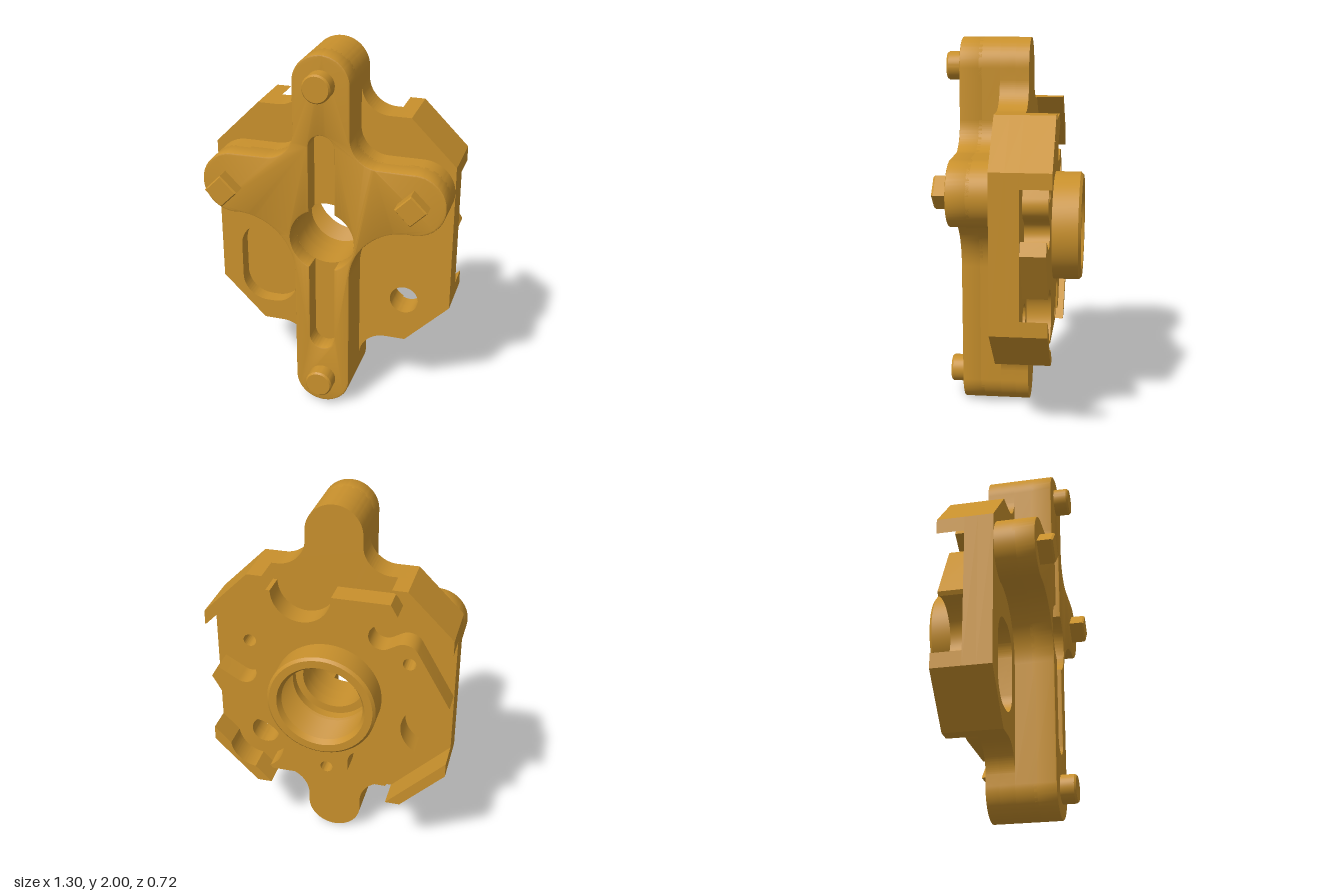
import * as THREE from 'three';
import { toCreasedNormals } from 'three/addons/utils/BufferGeometryUtils.js';

const PI = Math.PI;

export function createModel() {
  const model = new THREE.Group();
  model.name = 'bracketHousing';
  const brass = new THREE.MeshStandardMaterial({ color: 0xc8902c });
  brass.name = 'brass';

  function add(name, geometry) {
    const mesh = new THREE.Mesh(toCreasedNormals(geometry, 0.5), brass);
    mesh.name = name;
    model.add(mesh);
    return mesh;
  }

  // Extrude an outline between two depths, optionally with beveled rims
  function slab(name, shape, z0, z1, bevel = 0) {
    const geometry = new THREE.ExtrudeGeometry(shape, {
      depth: z1 - z0 - 2 * bevel, curveSegments: 24, bevelEnabled: bevel > 0,
      bevelThickness: bevel, bevelSize: bevel, bevelOffset: -bevel, bevelSegments: 2,
    });
    geometry.translate(0, 0, z0 + bevel);
    return add(name, geometry);
  }

  // Revolve a (radius, z) profile around the z axis
  function turned(name, profile, x, y, sides = 48) {
    const geometry = new THREE.LatheGeometry(profile.map(([r, z]) => new THREE.Vector2(r, z)), sides);
    geometry.rotateX(PI / 2);
    geometry.translate(x, y, 0);
    return add(name, geometry);
  }

  const circle = (x, y, r) => new THREE.Path().absarc(x, y, r, 0, 2 * PI, false);
  const BORE = 0.173;

  // Base plate: chamfered block with rounded tabs at top and bottom
  function baseOutline() {
    const s = new THREE.Shape();
    s.absarc(0, 0.15, 0.15, PI, 2 * PI, false);
    s.absarc(0.3, 0.2, 0.15, PI, PI / 2, true);
    s.lineTo(0.41, 0.35).lineTo(0.65, 0.59).lineTo(0.65, 1.41).lineTo(0.41, 1.65);
    s.absarc(0.3, 1.8, 0.15, -PI / 2, -PI, true);
    s.absarc(0, 1.85, 0.15, 0, PI, false);
    s.absarc(-0.3, 1.8, 0.15, 0, -PI / 2, true);
    s.lineTo(-0.41, 1.65).lineTo(-0.65, 1.41).lineTo(-0.65, 0.59).lineTo(-0.41, 0.35);
    s.absarc(-0.3, 0.2, 0.15, PI / 2, 0, true);
    s.holes.push(circle(0, 1, BORE), circle(0.4, 0.6, 0.078));
    return s;
  }
  const pocket = new THREE.Path();
  pocket.absarc(-0.355, 0.8, 0.14, 0, PI / 2, false);
  pocket.absarc(-0.395, 0.8, 0.14, PI / 2, PI, false);
  pocket.absarc(-0.395, 0.605, 0.14, PI, 1.5 * PI, false);
  pocket.absarc(-0.355, 0.605, 0.14, 1.5 * PI, 2 * PI, false);
  const pocketLayer = baseOutline();
  pocketLayer.holes.push(pocket);
  slab('basePlateFront', pocketLayer, -0.01, 0.07);
  slab('basePlateBack', baseOutline(), -0.08, -0.01);

  // Front cross: long vertical arm with two short side arms
  function crossOutline(hole) {
    const s = new THREE.Shape();
    s.absarc(0, 0.15, 0.15, PI, 2 * PI, false);
    s.absarc(0.46, 0.795, 0.31, PI, PI / 2, true);
    s.absarc(0.482, 1.27, 0.167, -PI / 2, PI / 2, false);
    s.absarc(0.3, 1.587, 0.15, -PI / 2, -PI, true);
    s.absarc(0, 1.85, 0.15, 0, PI, false);
    s.absarc(-0.3, 1.587, 0.15, 0, -PI / 2, true);
    s.absarc(-0.482, 1.27, 0.167, PI / 2, 1.5 * PI, false);
    s.absarc(-0.46, 0.795, 0.31, PI / 2, 0, true);
    s.holes.push(hole);
    return s;
  }
  // Long groove joined with the central bore
  const w = 0.068, a = Math.acos(w / BORE);
  const groove = new THREE.Path();
  groove.absarc(0, 1, BORE, -a, a, false);
  groove.absarc(0, 1.585 - w, w, 0, PI, false);
  groove.absarc(0, 1, BORE, PI - a, PI + a, false);
  groove.absarc(0, 0.345 + w, w, PI, 2 * PI, false);
  slab('crossBack', crossOutline(circle(0, 1, BORE)), 0.07, 0.18);
  slab('crossFront', crossOutline(groove), 0.155, 0.28, 0.008);

  // Round and square pins on the front
  const pin = (r) => [[r, 0.27], [r, 0.35], [r - 0.008, 0.36], [0, 0.36]];
  turned('upperPin', pin(0.074), 0, 1.85);
  turned('lowerPin', pin(0.074), 0, 0.155);
  turned('rightSquarePin', pin(0.088), -0.522, 1.247, 4);
  turned('leftSquarePin', pin(0.084), 0.483, 1.272, 4);

  // Diagonal corner blocks on the back; one is relieved around the small hole
  for (const [sx, sy, depth] of [[1, 1, 0.238], [-1, 1, 0.225], [-1, -1, 0.238], [1, -1, 0.22]]) {
    const s = new THREE.Shape();
    const at = (x, y) => [sx * x, 1 + sy * y];
    s.moveTo(...at(0.33, 0.65));
    s.lineTo(...at(0.41, 0.65)).lineTo(...at(0.65, 0.41)).lineTo(...at(0.65, 0.33));
    if (sx > 0 && sy < 0) s.absarc(0.4, 0.6, 0.16, -0.131, -1.44, true);
    s.closePath();
    slab('cornerBlock', s, -depth, -0.08);
  }

  // Rear hexagonal pad, repeated three times around: slot, then round scallop
  const outline = [];
  const screwHoles = [];
  for (let k = 0; k < 3; k++) {
    const put = (angle, n, t) => new THREE.Vector2(
      n * Math.cos(angle) - t * Math.sin(angle),
      1 + n * Math.sin(angle) + t * Math.cos(angle));
    const arc = (angle, n, t, r, from, to, steps) => {
      for (let i = 0; i <= steps; i++) {
        const q = from + (to - from) * i / steps;
        outline.push(put(angle, n + r * Math.cos(q), t + r * Math.sin(q)));
      }
    };
    const slotSide = PI / 6 + k * 2 * PI / 3, scallopSide = slotSide + PI / 3;
    outline.push(put(slotSide, 0.56, -0.323), put(slotSide, 0.56, -0.25));
    arc(slotSide, 0.43, -0.18, 0.07, -PI / 2, -1.5 * PI, 16);
    arc(slotSide, 0.48, -0.03, 0.08, -PI / 2, 0, 8);
    outline.push(put(scallopSide, 0.56, -0.323));
    arc(scallopSide, 0.56, -0.14, 0.16, -PI / 2, -1.5 * PI, 24);
    const c = put(slotSide, 0.49, 0.01);
    screwHoles.push(circle(c.x, c.y, 0.034));
  }
  const pad = new THREE.Shape(outline);
  pad.holes.push(circle(0, 1, 0.245), ...screwHoles);
  slab('rearPad', pad, -0.21, -0.08);

  // Threaded collar
  const collar = [[0.215, -0.08], [0.215, -0.13]];
  for (let z = -0.14; z > -0.34; z -= 0.02) collar.push([0.235, z], [0.217, z - 0.01]);
  collar.push([0.235, -0.36], [0.276, -0.36], [0.29, -0.346], [0.29, -0.19]);
  turned('threadedCollar', collar, 0, 1, 64);

  return model;
}
